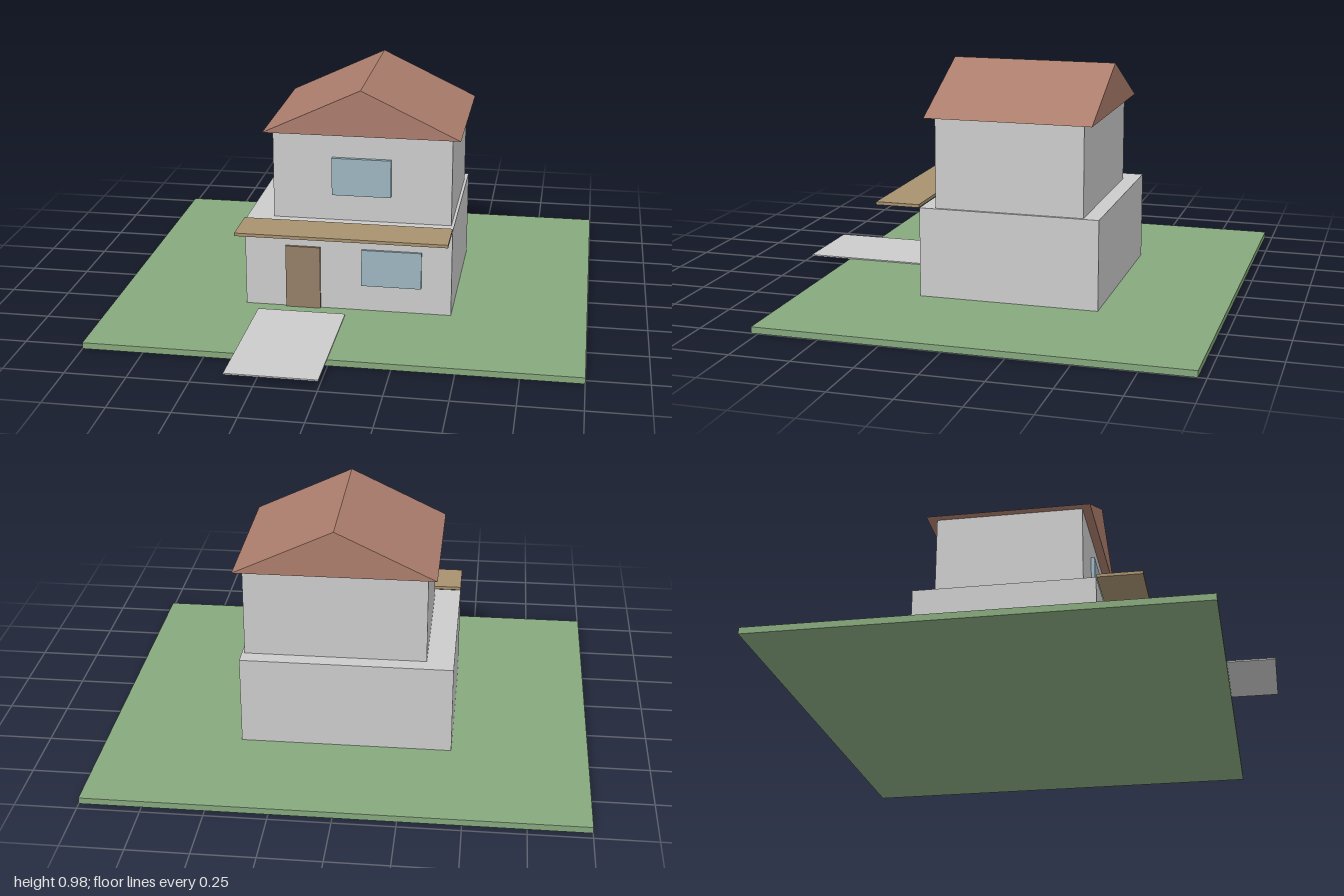
import * as THREE from 'three';

const COLORS = {
  grass: 0x86a87d, roof: 0xac7d6d, wood: 0xa7916f, door: 0x957f68, glass: 0x9db5c0, grey: 0xcccccc,
};

function material(color) {
  return new THREE.MeshStandardMaterial({ color, flatShading: true });
}

// Box given by its extents along each axis
function block(name, color, [x0, x1], [y0, y1], [z0, z1]) {
  const mesh = new THREE.Mesh(new THREE.BoxGeometry(x1 - x0, y1 - y0, z1 - z0), material(color));
  mesh.position.set((x0 + x1) / 2, (y0 + y1) / 2, (z0 + z1) / 2);
  mesh.name = name;
  return mesh;
}

// Solid gable roof with its ridge running front to back
function gableRoof(name, color, [x0, x1], [y0, y1], [z0, z1]) {
  const gable = new THREE.Shape();
  gable.moveTo(x0, y0);
  gable.lineTo(x1, y0);
  gable.lineTo((x0 + x1) / 2, y1);
  gable.closePath();
  const geometry = new THREE.ExtrudeGeometry(gable, { depth: z1 - z0, bevelEnabled: false });
  geometry.translate(0, 0, z0);
  const mesh = new THREE.Mesh(geometry, material(color));
  mesh.name = name;
  return mesh;
}

export function createModel() {
  const house = new THREE.Group();
  house.name = 'house';

  house.add(
    // Plot and front path
    block('lawn', COLORS.grass, [-1, 1], [0, 0.026], [-0.967, 0.78]),
    block('path', COLORS.grey, [-0.374, -0.002], [0.025, 0.031], [0.348, 0.967]),

    // Two storeys, the upper one set back
    block('lowerStorey', COLORS.grey, [-0.438, 0.436], [0.026, 0.402], [-0.47, 0.284]),
    block('upperStorey', COLORS.grey, [-0.326, 0.424], [0.402, 0.78], [-0.404, 0.217]),

    // Roof and awning
    gableRoof('roof', COLORS.roof, [-0.363, 0.459], [0.78, 0.975], [-0.443, 0.254]),
    block('awning', COLORS.wood, [-0.438, 0.436], [0.402, 0.415], [0.286, 0.473]),

    // Openings on the front wall
    block('door', COLORS.door, [-0.264, -0.117], [0.026, 0.3], [0.28, 0.295]),
    block('lowerWindow', COLORS.glass, [0.058, 0.31], [0.14, 0.3], [0.28, 0.295]),
    block('upperWindow', COLORS.glass, [-0.076, 0.172], [0.515, 0.676], [0.21, 0.233]),
  );

  return house;
}
